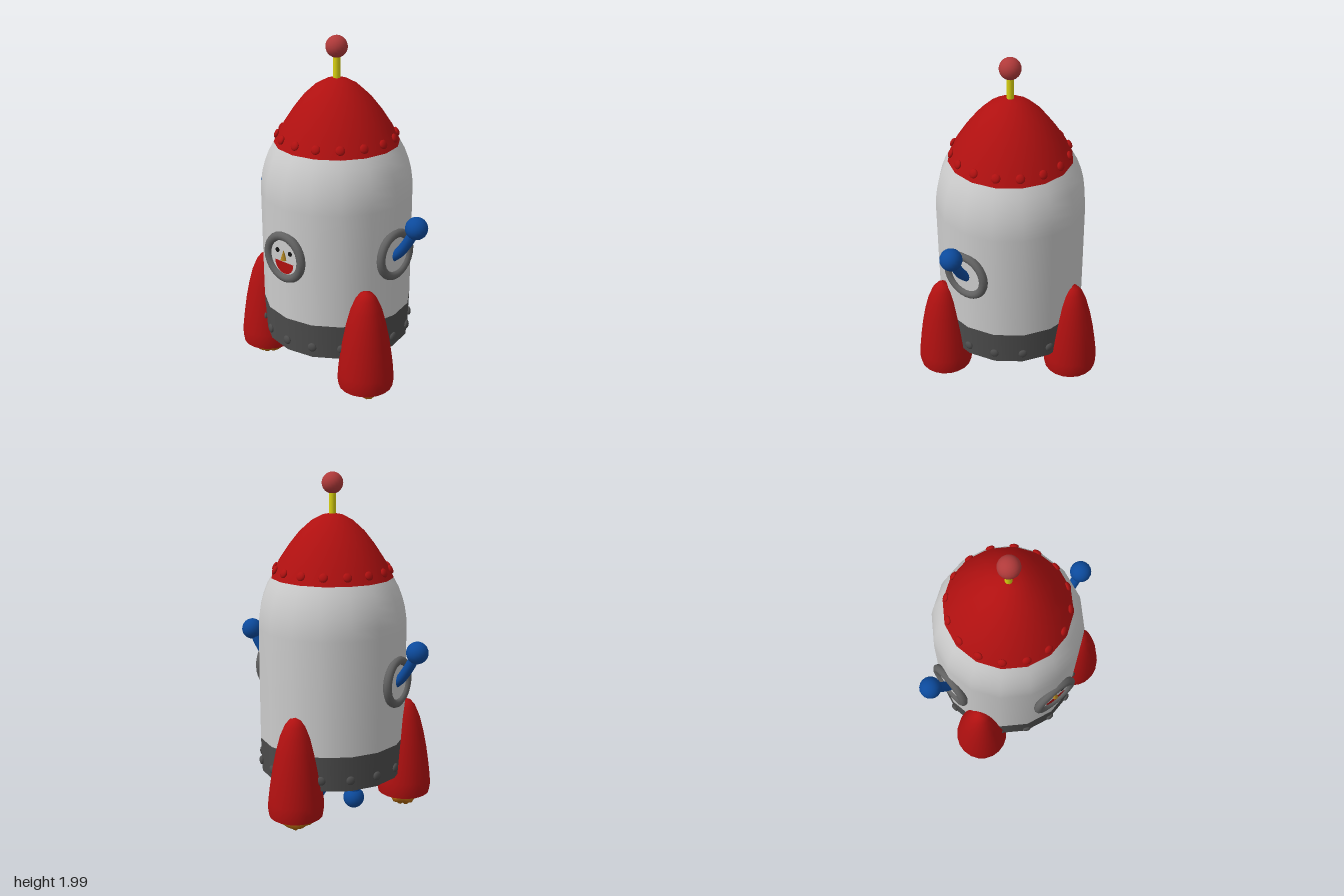
import * as THREE from 'three';

const mat = (color) => new THREE.MeshStandardMaterial({ color, side: THREE.DoubleSide });
const CX = -0.005, CZ = 0.06; // axis of the hull
const SIDES = 16;

export function createModel() {
  const root = new THREE.Group();
  root.name = 'rocket';
  const red = mat(0xb01010), white = mat(0xcccccc), dark = mat(0x4c4c4c), ringGrey = mat(0x626262);
  const blue = mat(0x0c4a9c), yellow = mat(0xd8d010), orange = mat(0xb0680f), black = mat(0x111111);
  const gold = mat(0xb08420), pink = mat(0xb03a3a), faceWhite = mat(0xdcdcdc);

  const add = (name, geo, material, x = 0, y = 0, z = 0, parent = root) => {
    const m = new THREE.Mesh(geo, material);
    m.name = name;
    m.position.set(x, y, z);
    parent.add(m);
    return m;
  };
  const lathe = (pts, sides = SIDES) =>
    new THREE.LatheGeometry(pts.map(([r, y]) => new THREE.Vector2(r, y)), sides);
  const disc = (r, sides = SIDES) => new THREE.CircleGeometry(r, sides);

  // Hull: dark skirt, light body and red nose cone
  const hull = new THREE.Group();
  hull.name = 'hull';
  hull.position.set(CX, 0, CZ);
  root.add(hull);
  add('skirt', lathe([[0.425, 0.255], [0.432, 0.46]]), dark, 0, 0, 0, hull);
  add('hullFloor', disc(0.425).rotateZ(Math.PI / 2).rotateX(Math.PI / 2), dark, 0, 0.255, 0, hull);
  add('body', lathe([[0.432, 0.46], [0.433, 0.8], [0.433, 1.12], [0.43, 1.18], [0.421, 1.24],
    [0.405, 1.3], [0.382, 1.36], [0.354, 1.41]]), white, 0, 0, 0, hull);
  add('noseCone', lathe([[0.354, 1.41], [0.31, 1.5], [0.25, 1.59], [0.19, 1.665], [0.12, 1.728],
    [0.06, 1.76], [0, 1.772]]), red, 0, 0, 0, hull);

  // Rows of rivets
  const rivetGeo = new THREE.SphereGeometry(0.026, 12, 8).scale(1, 1, 0.5);
  const rivetRow = (name, r, y, tilt, material) => {
    for (let i = 0; i < 16; i++) {
      const a = (i / 16) * Math.PI * 2;
      const m = add(name, rivetGeo, material, Math.sin(a) * r, y, Math.cos(a) * r, hull);
      m.rotation.set(-tilt, a, 0, 'YXZ');
    }
  };
  rivetRow('noseRivet', 0.335, 1.457, 0.45, red);
  rivetRow('skirtRivet', 0.43, 0.32, 0, dark);

  // Antenna
  add('antennaRod', new THREE.CylinderGeometry(0.02, 0.02, 0.16, 12), yellow, CX, 1.83, CZ);
  add('antennaBall', new THREE.SphereGeometry(0.061, 20, 14), pink, CX, 1.939, CZ);

  // Portholes: front, left and right
  [0, Math.PI / 2, -Math.PI / 2].forEach((a, i) => {
    const p = new THREE.Group();
    p.name = ['frontPorthole', 'leftPorthole', 'rightPorthole'][i];
    p.position.set(CX + Math.sin(a) * 0.432, 0.84, CZ + Math.cos(a) * 0.432);
    p.rotation.y = a;
    root.add(p);
    add('portholeRing', new THREE.TorusGeometry(0.124, 0.025, 10, 28), ringGrey, 0, 0, 0, p);
    add('portholePane', disc(0.12, 28), i ? white : faceWhite, 0, 0, 0.004, p);
    if (i) return;
    // Face behind the front porthole
    for (const s of [-1, 1])
      add('eye', new THREE.SphereGeometry(0.014, 12, 8).scale(1, 1, 0.5), black, s * 0.048, 0.034, 0.007, p);
    add('nose', new THREE.ConeGeometry(0.019, 0.06, 6).scale(1, 1, 0.9), gold, 0, 0.016, 0.008, p);
    add('mouth', new THREE.CircleGeometry(0.07, 20, Math.PI, Math.PI), red, 0.003, -0.026, 0.008, p);
  });

  // Arms with ball hands, legs with ball feet
  const ball = new THREE.SphereGeometry(0.063, 18, 12);
  for (const s of [-1, 1]) {
    const path = new THREE.CatmullRomCurve3([[0.41, 0.82, 0.062], [0.455, 0.86, 0.06],
      [0.505, 0.93, 0.055], [0.56, 1.03, 0.05]].map(([x, y, z]) => new THREE.Vector3(s * x, y, z)));
    add('arm', new THREE.TubeGeometry(path, 12, 0.029, 10), blue);
    add('hand', ball, blue, s * 0.56, 1.03, 0.05);
    const lx = -0.025 + s * 0.132;
    add('leg', new THREE.CylinderGeometry(0.038, 0.038, 0.23, 14), blue, lx, 0.175, 0.063);
    add('foot', ball, blue, lx, 0.07, 0.063);
  }

  // Flame: a wavy bulb tapering to a ragged tip
  const flameGeo = lathe([[0, 0.008], [0.022, 0.012], [0.045, 0.024], [0.062, 0.04], [0.086, 0.05],
    [0.096, 0.075], [0.092, 0.115]], 24);
  const fp = flameGeo.attributes.position;
  for (let i = 0; i < fp.count; i++) {
    const x = fp.getX(i), y = fp.getY(i), z = fp.getZ(i), a = Math.atan2(x, z);
    const k = 1 + 0.09 * Math.sin(a * 6 + y * 30) + 0.05 * Math.sin(a * 3 + 1);
    fp.setXYZ(i, x * k, y + (y > 0.01 && y < 0.1 ? 0.007 * Math.sin(a * 5 + 2) : 0), z * k);
  }
  flameGeo.computeVertexNormals();

  // Three boosters around the hull
  const boosterGeo = lathe([[0.154, 0.1], [0.16, 0.14], [0.158, 0.19], [0.147, 0.28], [0.132, 0.38],
    [0.112, 0.48], [0.088, 0.57], [0.06, 0.635], [0.034, 0.667], [0, 0.68]], 20);
  [[-0.022, -0.367], [0.395, 0.268], [-0.387, 0.268]].forEach(([x, z], i) => {
    const b = new THREE.Group();
    b.name = ['backBooster', 'leftBooster', 'rightBooster'][i];
    b.position.set(x, 0, z);
    b.rotation.y = Math.PI + i * Math.PI * 2 / 3;
    root.add(b);
    add('boosterShell', boosterGeo, red, 0, 0, 0, b);
    add('boosterBase', disc(0.154, 20).rotateX(Math.PI / 2), red, 0, 0.1, 0, b);
    add('flame', flameGeo, orange, 0, 0, 0, b);
  });
  return root;
}
